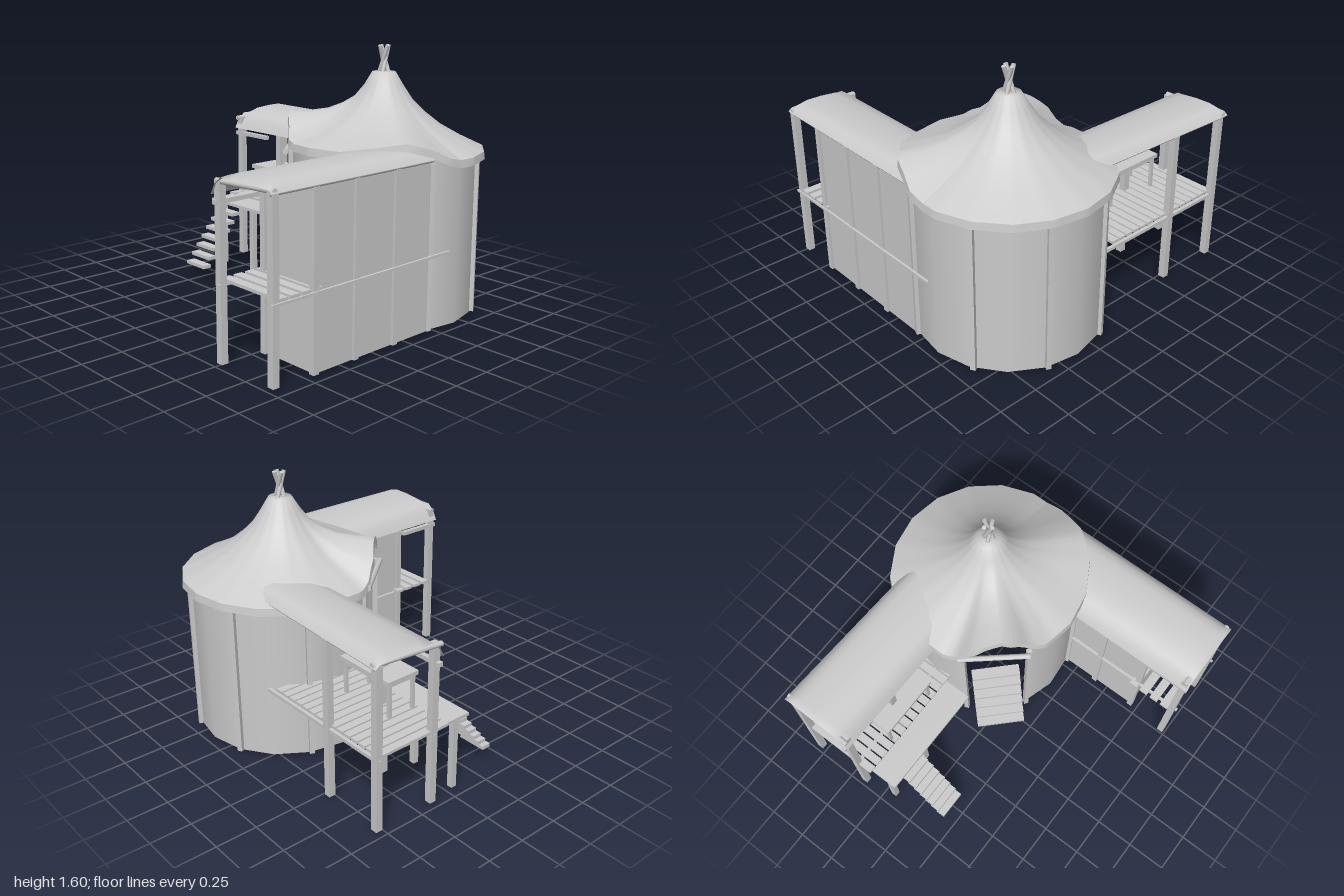
import * as THREE from 'three';

const mat = new THREE.MeshStandardMaterial({ color: 0xcccccc });
const cloth = new THREE.MeshStandardMaterial({ color: 0xcccccc, side: THREE.DoubleSide });
const CX = 0.387, CZ = 0.39;
const rad = THREE.MathUtils.degToRad;
const V = (x, y, z) => new THREE.Vector3(x, y, z);

// Point on the tent circle; angle runs from the front (+z) towards +x
const polar = (deg, r, y = 0) => V(CX + Math.sin(rad(deg)) * r, y, CZ + Math.cos(rad(deg)) * r);

function interpolate(keys, t) {
  for (let i = 1; i < keys.length; i++) {
    const [a, va] = keys[i - 1], [b, vb] = keys[i];
    if (t <= b) return va + (vb - va) * (t - a) / (b - a);
  }
  return keys[keys.length - 1][1];
}

// Smooth surface through rows of points
function loft(rows) {
  const n = rows[0].length, index = [];
  for (let i = 0; i < rows.length - 1; i++) {
    for (let j = 0; j < n - 1; j++) {
      const a = i * n + j, b = a + n;
      index.push(a, b, a + 1, b, b + 1, a + 1);
    }
  }
  const geo = new THREE.BufferGeometry().setFromPoints(rows.flat());
  geo.setIndex(index);
  geo.computeVertexNormals();
  return geo;
}

export function createModel() {
  const model = new THREE.Group();

  const add = (name, geo, material = mat) => {
    const mesh = new THREE.Mesh(geo, material);
    mesh.name = name;
    model.add(mesh);
    return mesh;
  };
  // Box given by its extents
  const box = (name, x0, x1, y0, y1, z0, z1) => {
    const m = add(name, new THREE.BoxGeometry(x1 - x0, y1 - y0, z1 - z0));
    m.position.set((x0 + x1) / 2, (y0 + y1) / 2, (z0 + z1) / 2);
    return m;
  };
  // Round pole between two points
  const pole = (name, a, b, r = 0.016) => {
    const m = add(name, new THREE.CylinderGeometry(r, r, a.distanceTo(b), 8));
    m.position.copy(a).lerp(b, 0.5);
    m.quaternion.setFromUnitVectors(V(0, 1, 0), b.clone().sub(a).normalize());
  };
  const post = (name, x, z, y0, y1, w = 0.036) =>
    box(name, x - w / 2, x + w / 2, y0, y1, z - w / 2, z + w / 2);

  // Tent walls, open at the door and towards the side wing
  for (const [from, to, segs] of [[-19, 201, 10], [242, 286, 2]]) {
    const wall = add('tentWall', new THREE.CylinderGeometry(0.565, 0.565, 0.99, segs, 1, true,
      rad(from), rad(to - from)), cloth);
    wall.position.set(CX, 0.505, CZ);
  }
  for (const deg of [-19, 28, 70, 114, 158, 201, 242, 286]) {
    const p = polar(deg, 0.571);
    post('tentPost', p.x, p.z, 0.01, 0.99, 0.03).rotation.y = rad(deg);
  }

  // Tent roof, its hem lifted over the door and the side wing
  const lift = [[0, 0], [195, 0], [200, 0.03], [205, 0.1], [215, 0.17], [225, 0.21], [235, 0.17],
    [240, 0.13], [245, 0.09], [255, 0.06], [290, 0.065], [310, 0.1], [326, 0.12], [340, 0.075],
    [350, 0.025], [360, 0]];
  const profile = [[0, 1.442], [0.07, 1.44], [0.115, 1.365], [0.175, 1.275], [0.25, 1.2],
    [0.345, 1.125], [0.47, 1.055], [0.608, 0.99]];
  const roofPoint = (i, r, y) => {
    const deg = i * 5;
    const t = Math.max(0, (r - 0.13) / 0.475);
    // Rim is an 18-sided polygon, cut straight across above the door
    let rr = r * Math.cos(rad(10)) / Math.cos(rad(deg % 20 - 10 + (deg % 20 < 10 ? 10 : -10)));
    if (deg > 202 && deg < 248) rr *= 1 - 0.07 * t * Math.cos(rad((deg - 225) * 3.8));
    return polar(deg, rr, y + interpolate(lift, deg) * t);
  };
  const ring = (r, y) => Array.from({ length: 73 }, (_, i) => roofPoint(i, r, y));
  add('tentRoof', loft(profile.map(([r, y]) => ring(r, y))), cloth);
  add('roofHem', loft([ring(0.608, 0.99), ring(0.614, 0.945)]), cloth);

  // Crossed poles at the peak
  for (let i = 0; i < 4; i++) {
    const a = polar(i * 90 + 20, 0.04, 1.4), b = polar(i * 90 + 170, 0.032, 1.595);
    pole('peakPole', a, b, 0.013);
  }

  // Door beam and entrance stairs
  pole('doorBeam', V(-0.14, 0.98, 0.1), V(0.19, 0.98, -0.18), 0.018);
  const stairs = new THREE.Group();
  stairs.name = 'entranceStairs';
  for (let i = 0; i < 6; i++) {
    const tread = new THREE.Mesh(new THREE.BoxGeometry(0.31, 0.022, 0.07), mat);
    tread.name = 'tread';
    tread.position.set(0, 0.178 + i * 0.054, 0.035 + i * 0.046);
    stairs.add(tread);
  }
  stairs.position.set(-0.11, 0, -0.145);
  stairs.rotation.y = rad(45);
  model.add(stairs);

  // Arched wing roofs, drooping at the open end; u runs from the inner to the outer eave
  const arch = [[0, 0.93], [0.03, 0.99], [0.08, 1.035], [0.16, 1.06], [0.26, 1.07], [0.36, 1.072],
    [0.41, 1.06], [0.44, 1.04], [0.465, 1.01]];
  const droop = (y, end) => (end ? Math.min(y, 1.03) : y);
  add('sideWingRoof', loft([[-1, 1], [-0.95, 0], [0.2, 0]].map(([x, end]) =>
    arch.map(([u, y]) => V(x, droop(y, end), 0.49 + u)))), cloth);
  add('backWingRoof', loft([[-0.99, 0.365, 1, 1], [-0.94, 0.364, 1, 0], [0.17, 0.35, 0.92, 0]]
    .map(([z, x, s, end]) => arch.map(([u, y]) => V(x + u * s, droop(y, end), z)))), cloth);

  // Eave poles and end poles
  pole('sideEavePole', V(-1, 1.01, 0.935), V(0.2, 1.01, 0.935));
  pole('sideEndPole', V(-0.97, 1.0, 0.5), V(-0.97, 1.02, 0.95));
  pole('backEavePole', V(0.81, 1.01, -0.98), V(0.765, 1.01, 0));
  pole('backEndPole', V(0.37, 1.0, -0.975), V(0.825, 1.02, -0.955));
  box('sideEaveBoard', -1, -0.71, 0.88, 0.905, 0.5, 0.53);
  box('backEaveBoard', 0.38, 0.41, 0.88, 0.905, -1, -0.68);

  // Side wing walls and their posts
  box('wingFrontWall', -0.69, 0.2, 0.01, 1.0, 0.926, 0.934);
  box('wingBackWall', -0.69, -0.15, 0.01, 0.99, 0.55, 0.558);
  box('wingEndWall', -0.694, -0.686, 0.01, 1.0, 0.55, 0.934);
  for (const x of [-0.695, -0.4, -0.095]) post('wingFrontPost', x, 0.932, 0.01, 1.0);
  for (const x of [-0.695, -0.4]) post('wingBackPost', x, 0.552, 0.01, 0.98);
  for (const z of [0.525, 0.93]) post('porchPost', -0.967, z, 0.02, 1.01, 0.042);

  // Side porch deck
  box('deckBeam', -1, 0.35, 0.448, 0.462, 0.946, 0.96);
  box('deckBeam', -1, -0.16, 0.448, 0.462, 0.53, 0.548);
  for (let i = 0; i < 4; i++) {
    const x = -0.945 + i * 0.078;
    box('sideDeckSlat', x, x + 0.055, 0.462, 0.48, 0.5, 0.95);
  }

  // Back porch deck and posts
  for (const x of [0.4, 0.79]) {
    box('deckBeam', x - 0.01, x + 0.01, 0.445, 0.465, -0.98, 0);
    post('porchPost', x, -0.955, 0.02, 1.01, 0.042);
  }
  post('porchPost', 0.785, -0.55, 0.02, 1.01, 0.042);
  post('porchPost', 0.41, -0.565, 0.02, 0.96, 0.042);
  for (let i = 0; i < 15; i++) {
    const z = -0.965 + i * 0.061;
    box('backDeckSlat', 0.29, 0.78, 0.465, 0.482, z, z + 0.05);
  }
  box('landingPlank', 0.11, 0.29, 0.45, 0.47, -0.945, -0.2);
  for (const z of [-0.595, -0.91]) post('landingPost', 0.19, z, 0, 0.45);

  // Steps down from the landing
  for (let i = 0; i < 7; i++) {
    const x = 0.07 - i * 0.0415, y = 0.405 - i * 0.053;
    box('landingStep', x, x + 0.06, y - 0.01, y + 0.012, -0.855, -0.67);
  }

  // Table on the back deck
  box('tableTop', 0.3, 0.52, 0.69, 0.715, -0.735, -0.325);
  box('tableApron', 0.315, 0.505, 0.67, 0.69, -0.72, -0.34);
  for (const x of [0.325, 0.495]) {
    for (const z of [-0.715, -0.345]) post('tableLeg', x, z, 0.48, 0.69, 0.02);
  }
  return model;
}
